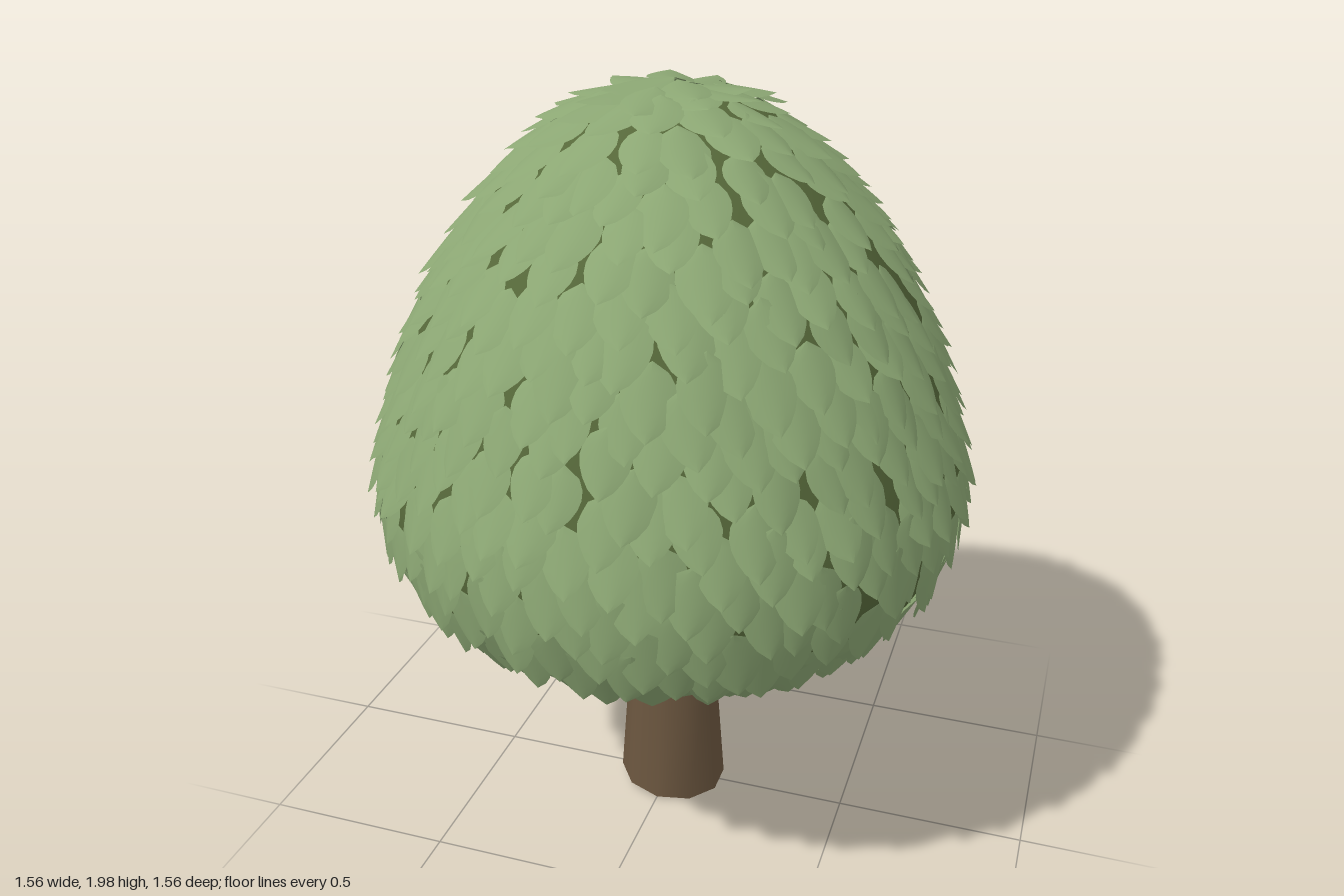
import * as THREE from 'three';
import { mergeGeometries } from 'three/addons/utils/BufferGeometryUtils.js';

const mat = (color, side = THREE.FrontSide) => new THREE.MeshStandardMaterial({ color, side });

// Seeded random in -1..1
let seed = 7;
function jitter() {
  seed = (seed * 16807) % 2147483647;
  return (seed / 2147483647) * 2 - 1;
}

// Crown outline, from under the middle up to the top
const outline = new THREE.SplineCurve([
  [0, 0.6], [0.25, 0.602], [0.46, 0.63], [0.62, 0.71], [0.71, 0.83], [0.745, 1.0], [0.715, 1.17],
  [0.635, 1.4], [0.53, 1.6], [0.37, 1.8], [0.2, 1.925], [0, 1.975],
].map(([r, y]) => new THREE.Vector2(r, y)));

// Egg-shaped leaf, tip towards -y, domed across and lifting at the tip
function leafShape() {
  const g = new THREE.PlaneGeometry(1, 1, 4, 7);
  const p = g.attributes.position;
  for (let i = 0; i < p.count; i++) {
    const t = 0.5 - p.getY(i); // 0 at the stem, 1 at the tip
    const half = 0.063 * Math.sin(Math.PI * Math.pow(t, 0.8)) ** 0.7 || 0;
    const u = p.getX(i) * 2;
    p.setXYZ(i, u * half, 0.09 - 0.18 * t, 0.006 + 0.014 * t - 0.012 * u * u * half / 0.063);
  }
  g.computeVertexNormals();
  return g;
}

// Rows of overlapping leaves following the outline
function leafRows() {
  const base = leafShape(), leaves = [];
  const rows = 28;
  for (let row = 0; row < rows; row++) {
    const s = 0.06 + 0.905 * row / (rows - 1);
    const r0 = outline.getPointAt(s).x;
    const n = Math.max(5, Math.round(2 * Math.PI * r0 / 0.108));
    for (let k = 0; k < n; k++) {
      const a = (k + (row % 2) / 2 + jitter() * 0.28) / n * Math.PI * 2;
      const at = THREE.MathUtils.clamp(s + jitter() * 0.012, 0.02, 0.97);
      const c = outline.getPointAt(at), d = outline.getTangentAt(at);
      const x = new THREE.Vector3(Math.cos(a), 0, -Math.sin(a));
      const y = new THREE.Vector3(Math.sin(a) * d.x, d.y, Math.cos(a) * d.x);
      const z = new THREE.Vector3().crossVectors(x, y);
      const pos = new THREE.Vector3(Math.sin(a) * c.x, c.y, Math.cos(a) * c.x)
        .addScaledVector(z, 0.006 + 0.004 * jitter());
      const size = 0.95 + 0.1 * jitter();
      const m = new THREE.Matrix4().makeBasis(x, y, z).setPosition(pos)
        .multiply(new THREE.Matrix4().makeRotationFromEuler(
          new THREE.Euler(-0.07 + 0.06 * jitter(), 0.12 * jitter(), 0.15 * jitter())))
        .scale(new THREE.Vector3(size, size, size));
      leaves.push(base.clone().applyMatrix4(m));
    }
  }
  return mergeGeometries(leaves);
}

// Tapering, slightly bent trunk: an open tube of rings [x, y, radius, tilt]
function trunkShape() {
  const rings = [[0.005, 0.016, 0.147, -0.085], [0.004, 0.4, 0.119, -0.1],
    [-0.012, 0.57, 0.105, 0.08], [-0.03, 0.85, 0.08, 0]];
  const sides = 10;
  const g = new THREE.CylinderGeometry(1, 1, 1, sides, rings.length - 1, true);
  const p = g.attributes.position;
  for (let i = 0; i < p.count; i++) {
    const [cx, cy, r, tilt] = rings[rings.length - 1 - Math.floor(i / (sides + 1))];
    const x = p.getX(i) * r;
    p.setXYZ(i, cx + x, cy + x * tilt, p.getZ(i) * r);
  }
  g.computeVertexNormals();
  // Match normals along the seam
  const nrm = g.attributes.normal;
  for (let j = 0; j < rings.length; j++) {
    const a = j * (sides + 1), b = a + sides;
    const v = new THREE.Vector3().fromBufferAttribute(nrm, a)
      .add(new THREE.Vector3().fromBufferAttribute(nrm, b)).normalize();
    nrm.setXYZ(a, v.x, v.y, v.z);
    nrm.setXYZ(b, v.x, v.y, v.z);
  }
  return g;
}

export function createModel() {
  seed = 7;
  const tree = new THREE.Group();
  tree.name = 'tree';
  const add = (name, geometry, material) => {
    const mesh = new THREE.Mesh(geometry, material);
    mesh.name = name;
    tree.add(mesh);
  };
  add('trunk', trunkShape(), mat(0x6b563f, THREE.DoubleSide));
  add('crownCore', new THREE.LatheGeometry(outline.getSpacedPoints(40), 48), mat(0x56683a));
  add('leaves', leafRows(), mat(0x8ba673, THREE.DoubleSide));
  return tree;
}
